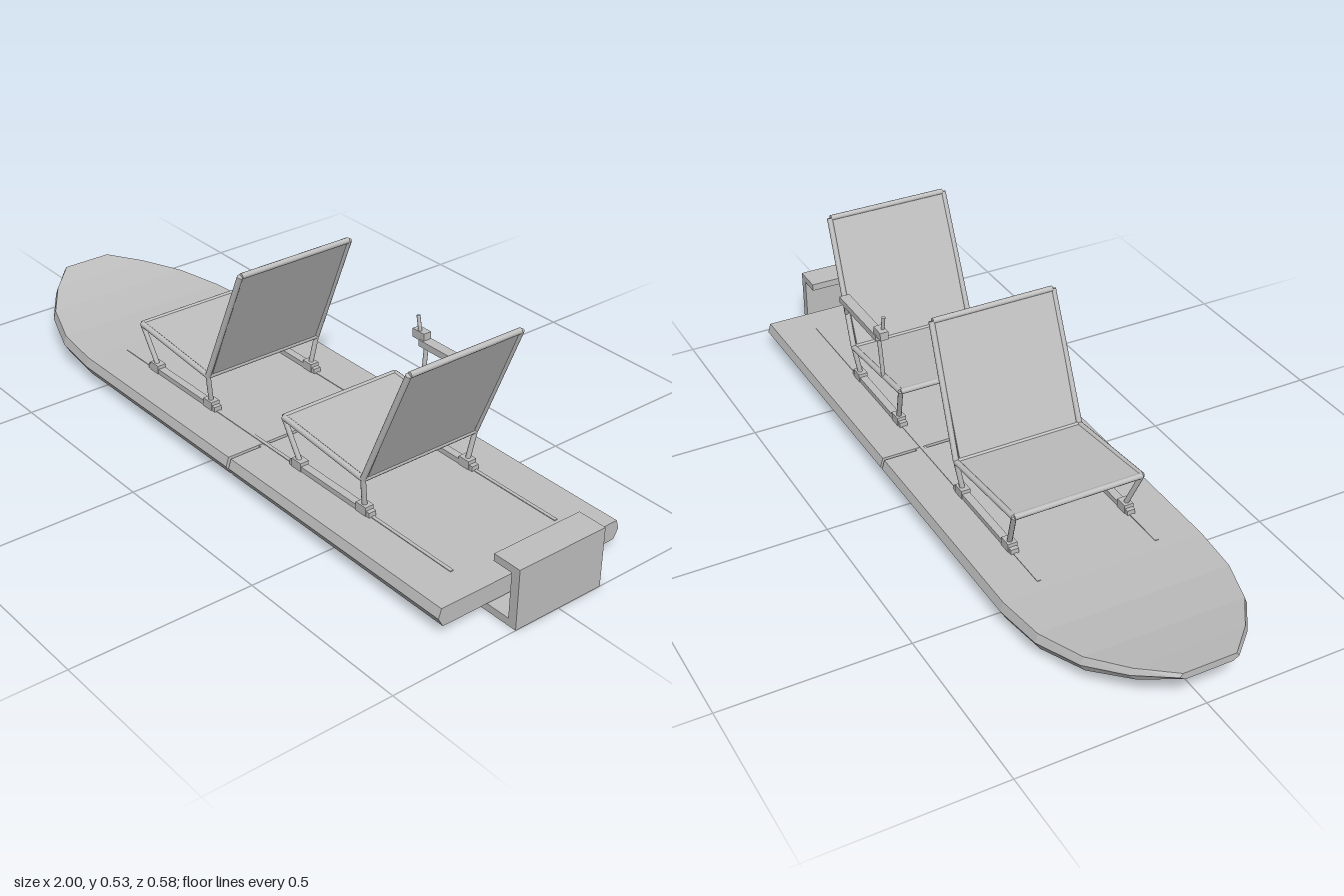
import * as THREE from 'three';

export function createModel() {
  const root = new THREE.Group();
  const grey = new THREE.MeshStandardMaterial({ color: 0xc0c0c0 });
  grey.name = 'light grey';

  const add = (parent, name, geo) => {
    const m = new THREE.Mesh(geo, grey);
    m.name = name;
    parent.add(m);
    return m;
  };
  // Box given by its minimum and maximum corners
  const box = (parent, name, x0, x1, y0, y1, z0, z1) => {
    const m = add(parent, name, new THREE.BoxGeometry(x1 - x0, y1 - y0, z1 - z0));
    m.position.set((x0 + x1) / 2, (y0 + y1) / 2, (z0 + z1) / 2);
    return m;
  };
  // Straight round tube between two points
  const rod = (parent, name, a, b, r) => {
    const p = new THREE.Vector3(...a), q = new THREE.Vector3(...b);
    const d = q.clone().sub(p);
    const m = add(parent, name, new THREE.CylinderGeometry(r, r, d.length(), 10));
    m.position.copy(p).add(q).multiplyScalar(0.5);
    m.quaternion.setFromUnitVectors(new THREE.Vector3(0, 1, 0), d.normalize());
    return m;
  };
  // Flat panel between two points in the side plane, spanning z
  const panel = (parent, name, a, b, thick, width) => {
    const dx = b[0] - a[0], dy = b[1] - a[1];
    const m = add(parent, name, new THREE.BoxGeometry(Math.hypot(dx, dy), thick, width));
    m.position.set((a[0] + b[0]) / 2, (a[1] + b[1]) / 2, 0);
    m.rotation.z = Math.atan2(dy, dx);
    return m;
  };
  // Hull lofted through sections [x, half width, deck height, bottom height]
  const hull = (name, sections) => {
    const rings = sections.map(([x, w, t, b]) => {
      const m = (t + b) / 2;
      return [[w - 0.008, t], [w, m], [w - 0.015, b], [0.015 - w, b], [-w, m], [0.008 - w, t]]
        .map(([z, y]) => [x, y, z]);
    });
    const pos = [];
    const tri = (a, b, c) => pos.push(...a, ...b, ...c);
    for (let i = 0; i < rings.length - 1; i++) {
      const p = rings[i], q = rings[i + 1];
      for (let j = 0; j < 6; j++) {
        const k = (j + 1) % 6;
        tri(p[j], p[k], q[k]);
        tri(p[j], q[k], q[j]);
      }
    }
    const first = rings[0], last = rings[rings.length - 1];
    for (let j = 1; j < 5; j++) {
      tri(first[0], first[j + 1], first[j]);
      tri(last[0], last[j], last[j + 1]);
    }
    const g = new THREE.BufferGeometry();
    g.setAttribute('position', new THREE.Float32BufferAttribute(pos, 3));
    g.computeVertexNormals();
    return add(root, name, g);
  };

  // Board in two halves with an upswept bow
  hull('bowHull', [
    [-1, 0.08, 0.12, 0.1],
    [-0.92, 0.16, 0.106, 0.07],
    [-0.82, 0.23, 0.091, 0.047],
    [-0.69, 0.275, 0.079, 0.03],
    [-0.55, 0.29, 0.075, 0.024],
    [0.112, 0.29, 0.075, 0.024],
  ]);
  hull('sternHull', [[0.122, 0.29, 0.075, 0.024], [0.91, 0.29, 0.075, 0.024]]);

  // Motor bracket: keel plate, upright transom and top lip
  box(root, 'keelPlate', -0.57, 1, 0, 0.02, -0.136, 0.136);
  box(root, 'keelSpacer', -0.55, 0.9, 0.018, 0.026, -0.12, 0.12);
  box(root, 'transomPlate', 0.975, 1, 0, 0.165, -0.136, 0.136);
  box(root, 'transomLip', 0.918, 1, 0.145, 0.165, -0.136, 0.136);

  // Deck rails and the joints between the halves
  for (const s of [-1, 1]) {
    box(root, 'deckRail', -0.52, 0.82, 0.073, 0.077, s * 0.168 - 0.005, s * 0.168 + 0.005);
    box(root, 'hullJoint', 0.1, 0.135, 0.035, 0.074, s * 0.17 - 0.015, s * 0.17 + 0.015);
  }

  // Reclined seat with tube frame
  const makeSeat = (name, x) => {
    const seat = new THREE.Group();
    seat.name = name;
    seat.position.x = x;
    root.add(seat);
    panel(seat, 'seatPanel', [-0.415, 0.205], [-0.112, 0.176], 0.008, 0.36);
    panel(seat, 'backPanel', [-0.112, 0.176], [0.024, 0.513], 0.008, 0.344);
    rod(seat, 'frontBar', [-0.418, 0.204, -0.182], [-0.418, 0.204, 0.182], 0.008);
    rod(seat, 'hipBar', [-0.112, 0.177, -0.18], [-0.112, 0.177, 0.18], 0.008);
    rod(seat, 'topBar', [0.027, 0.518, -0.172], [0.027, 0.518, 0.172], 0.008);
    for (const s of [-1, 1]) {
      const front = [-0.418, 0.204, s * 0.182], hip = [-0.112, 0.177, s * 0.182];
      rod(seat, 'seatSideTube', front, hip, 0.008);
      rod(seat, 'backSideTube', hip, [0.027, 0.518, s * 0.175], 0.008);
      rod(seat, 'frontLeg', front, [-0.37, 0.09, s * 0.168], 0.007);
      rod(seat, 'rearLeg', hip, [-0.12, 0.09, s * 0.168], 0.007);
      box(seat, 'baseRail', -0.4, -0.09, 0.075, 0.089, s * 0.168 - 0.011, s * 0.168 + 0.011);
      for (const fx of [-0.37, -0.12]) {
        box(seat, 'foot', fx - 0.018, fx + 0.018, 0.075, 0.099, s * 0.168 - 0.013, s * 0.168 + 0.013);
      }
    }
    return seat;
  };
  makeSeat('frontSeat', 0);
  makeSeat('rearSeat', 0.63);

  // Armrest with control lever on the rear seat
  const arm = new THREE.Group();
  arm.name = 'controlArm';
  root.add(arm);
  box(arm, 'armrest', 0.3, 0.535, 0.322, 0.34, -0.21, -0.18);
  rod(arm, 'armPost', [0.315, 0.198, -0.185], [0.315, 0.33, -0.194], 0.006);
  rod(arm, 'armBrace', [0.53, 0.33, -0.192], [0.552, 0.272, -0.184], 0.006);
  box(arm, 'controlBox', 0.272, 0.315, 0.336, 0.36, -0.208, -0.184);
  rod(arm, 'controlLever', [0.295, 0.35, -0.191], [0.284, 0.4, -0.191], 0.005);

  return root;
}
